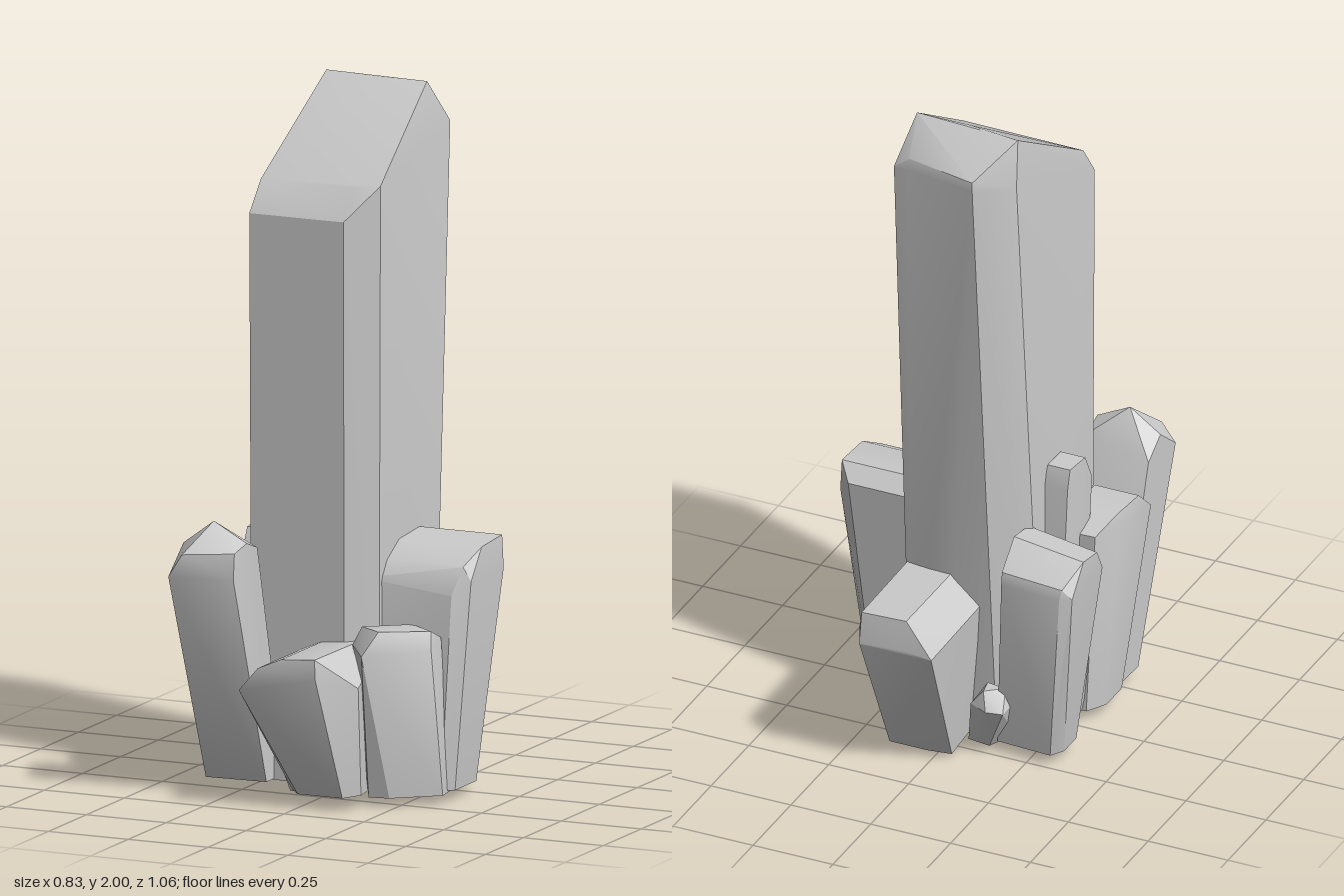
import * as THREE from 'three';
import { ConvexGeometry } from 'three/addons/geometries/ConvexGeometry.js';
import { toCreasedNormals } from 'three/addons/utils/BufferGeometryUtils.js';

const material = new THREE.MeshStandardMaterial({ color: 0xcccccc });

// A cut crystal: the hull of its foot, its shoulder (where the tip begins) and its tip
function crystal(name, foot, shoulder, tip) {
  const points = [...foot, ...shoulder, ...tip].map(p => new THREE.Vector3(...p));
  const mesh = new THREE.Mesh(toCreasedNormals(new ConvexGeometry(points), 0.5), material);
  mesh.name = name;
  return mesh;
}

// Level ring of corners from [x, z] pairs
const ring = (y, ...corners) => corners.map(([x, z]) => [x, y, z]);

export function createModel() {
  const group = new THREE.Group();
  group.name = 'crystalCluster';

  group.add(
    // Tall centre column with a long sloping tip
    crystal('mainCrystal',
      [[-0.22, 0.04, 0.25], [0.07, 0.03, 0.25], [0.15, 0.03, 0.19],
        [0.15, 0, -0.17], [0.03, 0, -0.18], [-0.12, 0.01, -0.17], [-0.22, 0.02, -0.08]],
      [[-0.225, 1.67, 0.255], [0.07, 1.67, 0.255], [0.155, 1.77, 0.19],
        [0.15, 1.87, -0.28], [0.1, 1.88, -0.295], [-0.12, 1.88, -0.333], [-0.21, 1.86, -0.23]],
      [[-0.215, 1.76, 0.2], [0.08, 1.76, 0.2], [-0.2, 2, -0.2],
        [-0.04, 2, -0.18], [0.125, 2, -0.18], [0.1, 1.91, -0.285], [-0.12, 1.91, -0.333]]),

    // Wide crystal on the +x side
    crystal('sideCrystal',
      ring(0.03, [0.1, 0.16], [0.33, 0.16], [0.36, 0.13], [0.36, -0.01], [0.32, -0.06], [0.1, -0.06]),
      [[0.1, 0.63, 0.175], [0.37, 0.6, 0.175], [0.415, 0.64, 0.14],
        [0.415, 0.64, -0.075], [0.37, 0.69, -0.118], [0.1, 0.69, -0.118]],
      [[0.1, 0.68, 0.14], [0.39, 0.68, 0.14], [0.1, 0.725, 0.06],
        [0.41, 0.725, 0.06], [0.1, 0.735, -0.075], [0.41, 0.735, -0.075]]),

    // Front crystal, leaning forward
    crystal('frontCrystal',
      ring(0.04, [0, 0.41], [0.14, 0.41], [0.17, 0.35], [0.15, 0.22], [-0.03, 0.22], [-0.04, 0.36]),
      [[-0.132, 0.35, 0.52], [0.11, 0.4, 0.525], [0.185, 0.36, 0.4],
        [0.15, 0.42, 0.2], [-0.132, 0.35, 0.2]],
      [[-0.07, 0.42, 0.525], [0, 0.45, 0.52], [0.105, 0.458, 0.52],
        [-0.07, 0.42, 0.2], [0, 0.45, 0.2], [0.11, 0.458, 0.2]]),

    // Front crystal turned to the +x corner
    crystal('frontCornerCrystal',
      ring(0.025, [0.17, 0.3], [0.23, 0.29], [0.35, 0.19], [0.34, 0.12], [0.2, 0.1], [0.13, 0.2]),
      [[0.115, 0.46, 0.29], [0.19, 0.45, 0.39], [0.34, 0.45, 0.245],
        [0.34, 0.48, 0.18], [0.25, 0.48, 0.12], [0.13, 0.48, 0.2]],
      [[0.135, 0.51, 0.27], [0.22, 0.515, 0.34], [0.33, 0.505, 0.225], [0.24, 0.505, 0.16]]),

    // Pointed crystal leaning out at the front
    crystal('pointedCrystal',
      ring(0.04, [-0.335, 0.31], [-0.15, 0.3], [-0.15, 0.18], [-0.33, 0.18]),
      [[-0.348, 0.66, 0.53], [-0.157, 0.66, 0.503], [-0.15, 0.73, 0.36], [-0.348, 0.69, 0.35]],
      [[-0.31, 0.725, 0.52], [-0.16, 0.735, 0.49], [-0.255, 0.81, 0.425],
        [-0.15, 0.755, 0.43], [-0.348, 0.74, 0.43]]),

    // Crystals along the -x side
    crystal('sideFrontCrystal',
      ring(0.04, [-0.345, 0.18], [-0.2, 0.2], [-0.18, 0.02], [-0.31, 0.02], [-0.345, 0.08]),
      [[-0.375, 0.58, 0.31], [-0.235, 0.58, 0.315], [-0.2, 0.62, 0.01],
        [-0.34, 0.62, 0.015], [-0.375, 0.63, 0.1]],
      [[-0.372, 0.65, 0.235], [-0.235, 0.65, 0.235], [-0.37, 0.66, 0.1], [-0.235, 0.66, 0.1]]),
    crystal('slenderCrystal',
      ring(0.06, [-0.28, 0.05], [-0.18, 0.05], [-0.16, -0.06], [-0.26, -0.06]),
      [[-0.302, 0.78, 0.075], [-0.22, 0.78, 0.082], [-0.215, 0.8, -0.06], [-0.29, 0.8, -0.062]],
      [[-0.302, 0.865, 0.03], [-0.225, 0.865, 0.03], [-0.22, 0.86, -0.045], [-0.29, 0.86, -0.045]]),
    crystal('sideSmallCrystal',
      ring(0.04, [-0.3, 0.03], [-0.18, 0.03], [-0.17, -0.09], [-0.25, -0.09]),
      ring(0.47, [-0.343, 0.0], [-0.25, 0.03], [-0.2, -0.06], [-0.3, -0.1], [-0.342, -0.08]),
      ring(0.52, [-0.32, -0.01], [-0.26, -0.06])),
    crystal('sideBackCrystal',
      ring(0.035, [-0.345, -0.12], [-0.19, -0.11], [-0.15, -0.23], [-0.32, -0.24], [-0.345, -0.2]),
      [[-0.415, 0.6, -0.095], [-0.21, 0.6, -0.09], [-0.2, 0.6, -0.31],
        [-0.385, 0.6, -0.318], [-0.417, 0.6, -0.3]],
      [[-0.417, 0.67, -0.135], [-0.2, 0.7, -0.13], [-0.417, 0.685, -0.225],
        [-0.2, 0.715, -0.225], [-0.39, 0.63, -0.31], [-0.2, 0.64, -0.305]]),

    // Back crystal, leaning backward
    crystal('backCrystal',
      ring(0.015, [-0.05, -0.32], [0.02, -0.33], [0.14, -0.33], [0.15, -0.17], [-0.04, -0.17]),
      [[-0.085, 0.44, -0.53], [0, 0.45, -0.53], [0.14, 0.44, -0.53], [0.16, 0.47, -0.485],
        [0.16, 0.48, -0.15], [-0.085, 0.45, -0.16]],
      [[0, 0.54, -0.515], [0.14, 0.535, -0.515], [0, 0.54, -0.19], [0.145, 0.535, -0.19]]),

    // Small shards at the foot
    crystal('sideShard',
      ring(0.01, [0.12, -0.06], [0.22, -0.07], [0.23, -0.15], [0.12, -0.15]),
      ring(0.165, [0.16, -0.115], [0.28, -0.12], [0.28, -0.19], [0.16, -0.2]),
      ring(0.21, [0.16, -0.14], [0.265, -0.14], [0.265, -0.185], [0.16, -0.19])),
    crystal('frontShard',
      ring(0.02, [-0.08, 0.29], [0, 0.3], [0, 0.2], [-0.09, 0.2]),
      ring(0.21, [-0.147, 0.31], [-0.07, 0.32], [-0.06, 0.22], [-0.147, 0.22]),
      ring(0.26, [-0.14, 0.27], [-0.1, 0.28])),
    crystal('backShard',
      ring(0.02, [-0.17, -0.15], [-0.06, -0.15], [-0.06, -0.23], [-0.13, -0.24]),
      ring(0.17, [-0.2, -0.22], [-0.1, -0.19], [-0.09, -0.28], [-0.15, -0.31], [-0.2, -0.3]),
      ring(0.22, [-0.18, -0.24], [-0.12, -0.23], [-0.13, -0.28])));

  return group;
}
